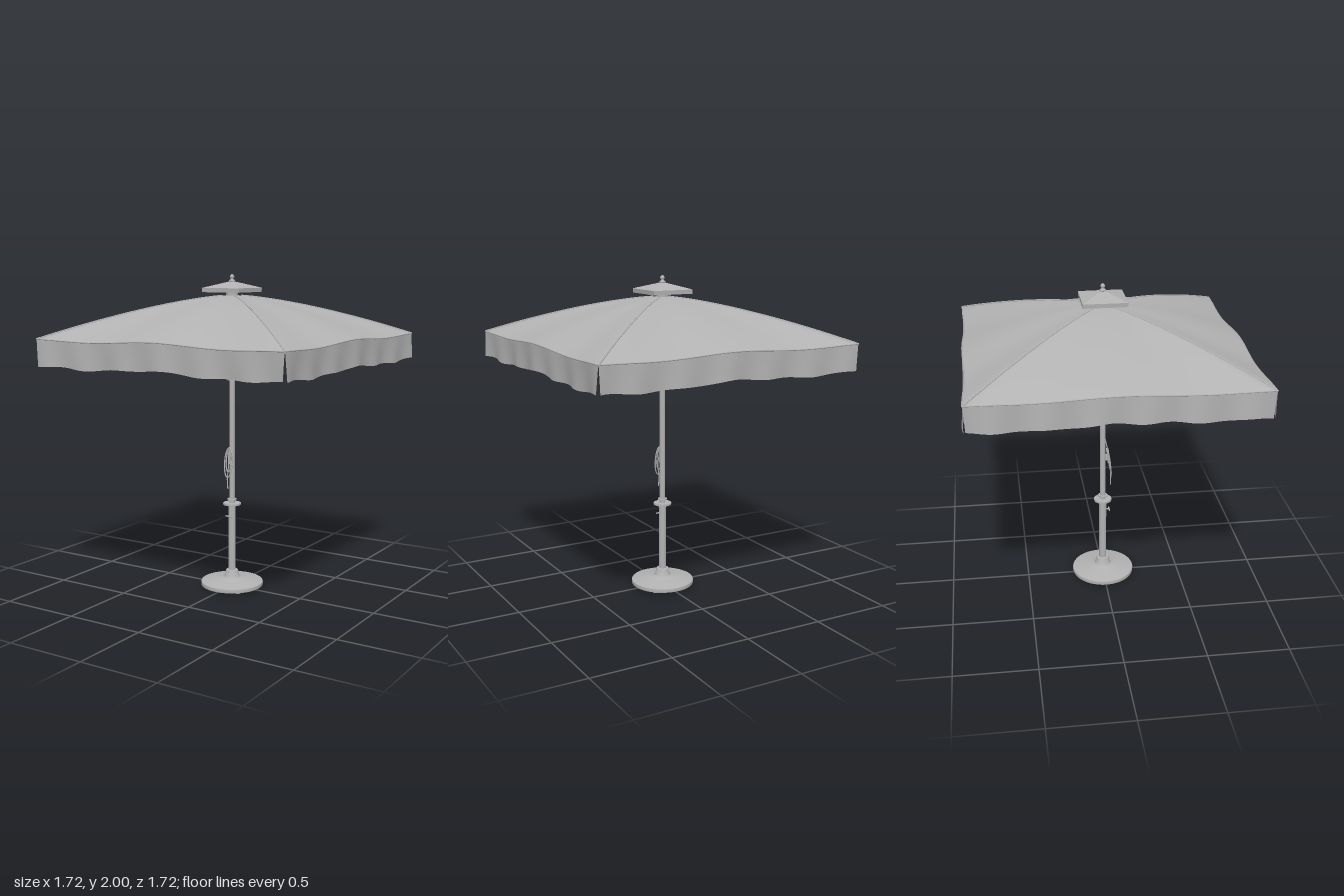
import * as THREE from 'three';

const grey = new THREE.MeshStandardMaterial({ color: 0xb2b2b2, side: THREE.DoubleSide });
grey.name = 'grey';

const V = (x, y, z) => new THREE.Vector3(x, y, z);
const UP = V(0, 1, 0);

function add(parent, name, geometry, x = 0, y = 0, z = 0) {
  const mesh = new THREE.Mesh(geometry, grey);
  mesh.name = name;
  mesh.position.set(x, y, z);
  parent.add(mesh);
  return mesh;
}

// Turned part from [radius, height] corners; each straight run keeps sharp edges
function turned(parent, name, profile, segments = 32) {
  return add(parent, name, new THREE.LatheGeometry(profile.map(p => new THREE.Vector2(...p)), segments));
}

// Straight round bar between two points
function rod(parent, name, a, b, r) {
  const d = b.clone().sub(a);
  const mesh = add(parent, name, new THREE.CylinderGeometry(r, r, d.length(), 8));
  mesh.position.copy(a).addScaledVector(d, 0.5);
  mesh.quaternion.setFromUnitVectors(UP, d.normalize());
}

function tube(parent, name, points, r, closed = false, segments = 40) {
  add(parent, name, new THREE.TubeGeometry(new THREE.CatmullRomCurve3(points, closed), segments, r, 6, closed));
}

// Cloth of the front quarter: u runs along the edge (-1..1), t from peak to rim
function roof(u, t) {
  const sag = Math.sin(Math.PI * u) ** 2;
  const mid = Math.cos(Math.PI * u / 2) ** 2;
  const rimY = 1.618 + 0.012 * mid - 0.014 * sag;
  const reach = 0.848 - 0.012 * sag;
  return V(u * t * 0.85, 1.872 - (1.872 - rimY) * t ** 1.45, t * reach);
}

// Grid surface through point(i, j)
function surface(cols, rows, point, wrap = false) {
  const pos = [], index = [];
  for (let i = 0; i < cols; i++) for (let j = 0; j < rows; j++) pos.push(...point(i, j).toArray());
  for (let i = 0; i < (wrap ? cols : cols - 1); i++) {
    const n = (i + 1) % cols;
    for (let j = 0; j < rows - 1; j++) {
      const a = i * rows + j, b = n * rows + j;
      index.push(a, a + 1, b + 1, a, b + 1, b);
    }
  }
  const g = new THREE.BufferGeometry();
  g.setAttribute('position', new THREE.Float32BufferAttribute(pos, 3));
  g.setIndex(index);
  g.computeVertexNormals();
  return g;
}

function buildCanopy(root) {
  const canopy = new THREE.Group();
  canopy.name = 'canopy';
  root.add(canopy);

  // Continuous four-sided roof cloth
  const N = 28, rows = 22;
  add(canopy, 'roofCloth', surface(4 * N, rows, (i, j) => {
    const t = 0.03 + 0.97 * j / (rows - 1);
    return roof(-1 + 2 * (i % N) / N, t).applyAxisAngle(UP, Math.floor(i / N) * Math.PI / 2);
  }, true));

  for (let s = 0; s < 4; s++) {
    const side = new THREE.Group();
    side.name = 'canopySide';
    side.rotation.y = s * Math.PI / 2;
    canopy.add(side);

    // Hanging valance with loose waves, open at the corners
    add(side, 'valance', surface(81, 7, (i, j) => {
      const k = j / 6, u = (-1 + 2 * i / 80) * (0.996 - 0.01 * k);
      const p = roof(u, 1);
      p.y -= k * (0.16 - 0.005 * Math.sin(u * 14 + s));
      p.z += k * (0.002 + 0.009 * Math.sin(u * 19 + s * 1.7));
      return p;
    }));

    // Rim hem and ridge seam
    const rim = [], ridge = [];
    for (let i = 0; i <= 16; i++) {
      rim.push(roof(-0.995 + 1.99 * i / 16, 1));
      ridge.push(roof(1, 0.05 + 0.95 * i / 16));
    }
    tube(side, 'rimHem', rim, 0.004);
    tube(side, 'ridgeSeam', ridge, 0.005);

    // One middle and one corner rib, each with its strut
    for (const u of [0, 1]) {
      const rib = [];
      for (let i = 0; i <= 10; i++) rib.push(roof(u, 0.03 + 0.95 * i / 10).add(V(0, -0.014, 0)));
      tube(side, 'rib', rib, 0.008);
      const joint = roof(u, 0.5).add(V(0, -0.02, 0));
      const start = V(joint.x, 0, joint.z).setLength(0.028).setY(1.405);
      rod(side, 'strut', start, joint, 0.007);
      add(side, 'strutJoint', new THREE.BoxGeometry(0.022, 0.026, 0.022), joint.x, joint.y, joint.z);
    }
  }
}

// Square vent cap with short skirt, plus the finial
function buildCap(root) {
  const cap = new THREE.Group();
  cap.name = 'ventCap';
  root.add(cap);
  const q = Math.SQRT2 * 0.135;
  const top = add(cap, 'capRoof', new THREE.CylinderGeometry(0.012, q, 0.04, 4, 1, true).toNonIndexed(), 0, 1.936, 0);
  const skirt = add(cap, 'capSkirt', new THREE.CylinderGeometry(q, q * 0.99, 0.026, 4, 1, true).toNonIndexed(), 0, 1.903, 0);
  for (const m of [top, skirt]) {
    m.geometry.computeVertexNormals();
    m.rotation.y = Math.PI / 4;
  }
  add(cap, 'capCollar', new THREE.CylinderGeometry(0.036, 0.036, 0.022, 24), 0, 1.88, 0);
  turned(cap, 'finial', [[0, 1.95], [0.019, 1.95], [0.019, 1.962], [0.01, 1.968], [0.009, 1.974],
    [0.014, 1.98], [0.014, 1.986], [0.009, 1.995], [0, 2]], 20);
}

function buildPole(root) {
  const pole = new THREE.Group();
  pole.name = 'pole';
  root.add(pole);
  const cyl = (name, r, y0, y1) =>
    add(pole, name, new THREE.CylinderGeometry(r, r, y1 - y0, 28), 0, (y0 + y1) / 2, 0);
  cyl('upperPole', 0.0175, 0.5, 1.94);
  cyl('lowerTube', 0.0235, 0.09, 0.545);
  cyl('flange', 0.057, 0.54, 0.552);
  cyl('lockRing', 0.03, 0.572, 0.579);
  cyl('runner', 0.028, 1.34, 1.4);
  cyl('runnerRim', 0.034, 1.395, 1.415);
  cyl('topHub', 0.034, 1.825, 1.86);

  // Clamp screw on the lower tube
  rod(pole, 'clampScrew', V(0, 0.47, 0.018), V(0, 0.47, 0.045), 0.005);
  rod(pole, 'clampHandle', V(-0.022, 0.47, 0.042), V(0.022, 0.47, 0.042), 0.005);
}

// Pull cord looped over a cleat
function buildCord(root) {
  const cord = new THREE.Group();
  cord.name = 'pullCord';
  root.add(cord);
  add(cord, 'cleatFoot', new THREE.BoxGeometry(0.012, 0.04, 0.022), 0, 0.85, 0.025);
  rod(cord, 'cleatBar', V(0, 0.81, 0.036), V(0, 0.89, 0.036), 0.006);
  tube(cord, 'cordLead', [V(0, 0.99, 0.014), V(0.004, 0.94, 0.024), V(0.002, 0.88, 0.036)], 0.004, false, 12);
  for (const [w, h, y, z] of [[0.028, 0.095, 0.82, 0.044], [0.02, 0.075, 0.835, 0.036]]) {
    const loop = [];
    for (let i = 0; i < 12; i++) {
      const a = i * Math.PI / 6;
      loop.push(V(w * Math.sin(a), y + h * Math.cos(a), z - 0.012 * Math.cos(a)));
    }
    tube(cord, 'cordLoop', loop, 0.004, true);
  }
  tube(cord, 'cordTail', [V(0, 0.86, 0.042), V(0.005, 0.79, 0.052), V(-0.003, 0.72, 0.052), V(0, 0.65, 0.05)], 0.004, false, 20);
}

function buildBase(root) {
  const base = new THREE.Group();
  base.name = 'base';
  root.add(base);
  turned(base, 'basePlate', [[0, 0.01], [0.198, 0.01], [0.198, 0.01], [0.2, 0.014], [0.2, 0.032], [0.198, 0.036], [0.12, 0.05],
    [0.06, 0.06], [0.047, 0.07], [0.04, 0.105], [0.036, 0.11], [0, 0.11]], 56);
  for (let i = 0; i < 4; i++) {
    const a = Math.PI / 4 + i * Math.PI / 2;
    add(base, 'foot', new THREE.CylinderGeometry(0.018, 0.018, 0.012, 16),
      0.163 * Math.cos(a), 0.006, 0.163 * Math.sin(a));
  }
}

export function createModel() {
  const root = new THREE.Group();
  root.name = 'parasol';
  buildBase(root);
  buildPole(root);
  buildCord(root);
  buildCanopy(root);
  buildCap(root);
  return root;
}
